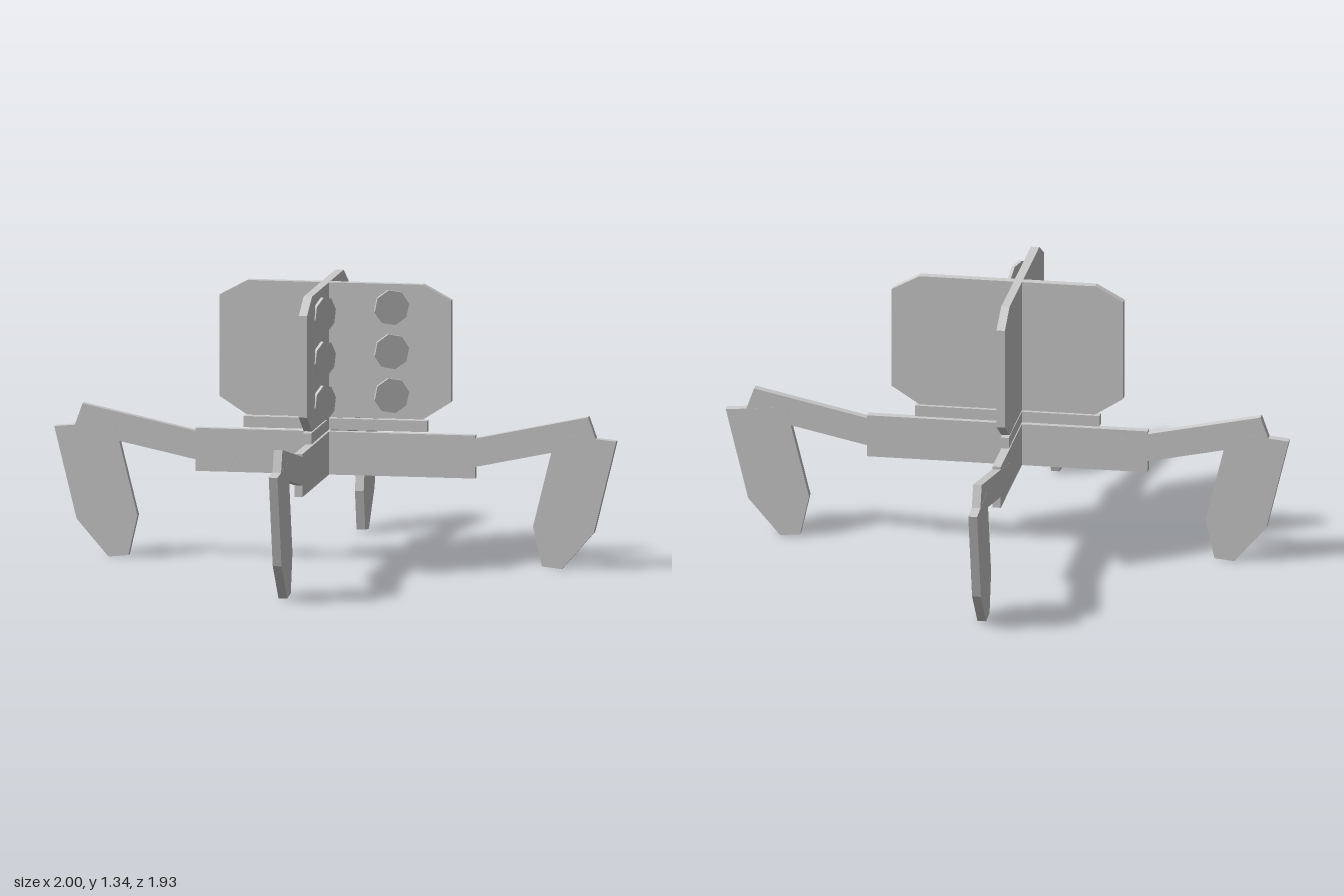
import * as THREE from 'three';

const PLATE = 0.04;    // plate thickness
const SHIFT = 0.05;    // plates slide forward of the crossing line
const CROSS_Z = -0.037;

const grey = new THREE.MeshStandardMaterial({ color: 0xcccccc, flatShading: true });
grey.name = 'light grey';

// Thin upright plate cut from an outline; side = -1 mirrors it
function plate(name, points, side = 1, thickness = PLATE) {
  const shape = new THREE.Shape(points.map(([r, y]) => new THREE.Vector2(r * side + SHIFT, y)));
  const geometry = new THREE.ExtrudeGeometry(shape, { depth: thickness, bevelEnabled: false });
  geometry.translate(0, 0, -thickness / 2);
  const mesh = new THREE.Mesh(geometry, grey);
  mesh.name = name;
  return mesh;
}

// Full outline from its right half, listed from bottom to top
const mirrored = (half) => [...half, ...half.map(([r, y]) => [-r, y]).reverse()];

const HEAD = mirrored([[0.42, 0.695], [0.553, 0.78], [0.553, 1.265], [0.42, 1.337]]);
const NECK = mirrored([[0.44, 0.635], [0.44, 0.688]]);
const BASE = mirrored([[0.67, 0.42], [0.67, 0.625]]);
const UPPER_LEG = [[0.437, 0.561], [0.512, 0.442], [1.255, 0.6], [1.21, 0.727]];
const LOWER_LEG = [[1.056, 0.642], [0.947, 0.2], [0.99, 0.01], [1.085, 0], [1.238, 0.177], [1.345, 0.615]];

// One body slice with a leg at each end
function crossPlate(name) {
  const group = new THREE.Group();
  group.name = name;
  group.add(plate('head', HEAD), plate('neck', NECK), plate('base', BASE));
  for (const side of [1, -1]) {
    const end = side > 0 ? 'front' : 'rear';
    group.add(plate(end + 'UpperLeg', UPPER_LEG, side, PLATE + 0.001));
    group.add(plate(end + 'LowerLeg', LOWER_LEG, side, PLATE + 0.002));
  }
  return group;
}

export function createModel() {
  const model = new THREE.Group();
  model.name = 'fourLeggedWalker';

  // Two slices crossing at right angles
  const first = crossPlate('leftFrontSlice');
  first.rotation.y = -Math.PI / 4;
  const second = crossPlate('rightFrontSlice');
  second.rotation.y = -3 * Math.PI / 4;
  for (const slice of [first, second]) {
    slice.position.z = CROSS_Z;
    model.add(slice);
  }

  // Two columns of eight-sided eyes, turned slightly inward
  const disc = new THREE.CylinderGeometry(0.085, 0.085, 0.016, 8);
  disc.rotateY(Math.PI / 16).rotateX(Math.PI / 2);
  for (const side of [1, -1]) {
    for (const y of [0.81, 1.02, 1.23]) {
      const eye = new THREE.Mesh(disc, grey);
      eye.name = side > 0 ? 'leftEye' : 'rightEye';
      eye.position.set(0.193 * side, y, 0.23);
      eye.rotation.y = -side * THREE.MathUtils.degToRad(20);
      model.add(eye);
    }
  }
  return model;
}
